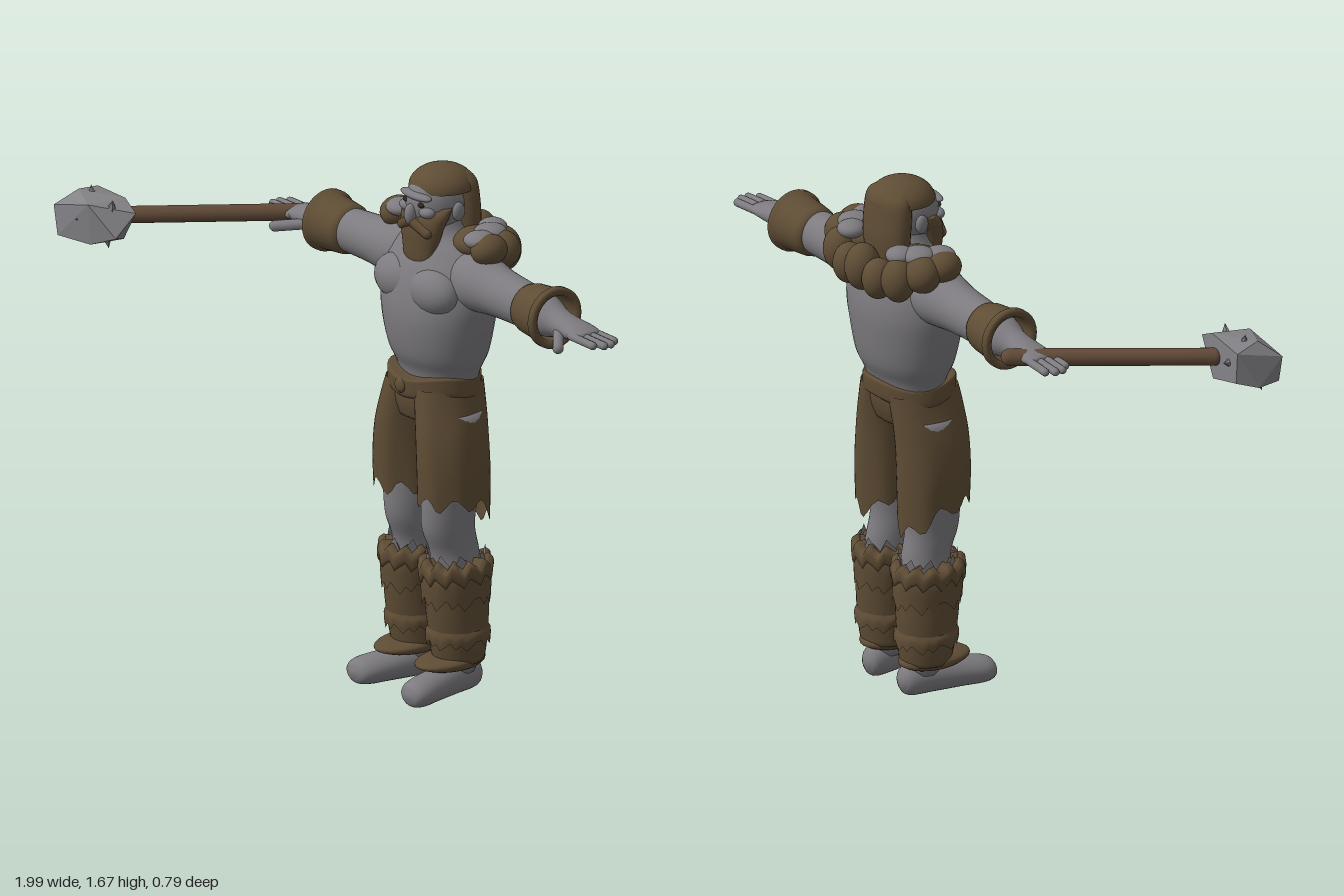
import * as THREE from 'three';
import { ConvexGeometry } from 'three/addons/geometries/ConvexGeometry.js';

const V = (x, y, z) => new THREE.Vector3(x, y, z);
const mat = (name, color, side = THREE.FrontSide) => {
  const m = new THREE.MeshStandardMaterial({ color, side });
  m.name = name;
  return m;
};

// Smooth skin over elliptical sections [along, centreU, centreV, radiusU, radiusV].
// Axis y: u = x, v = z.  Axis x: u = z, v = y.  Axis z: u = y, v = x.
function loft(sections, { axis = 'y', seg = 28, steps = 4, cap = true, warp } = {}) {
  const centre = new THREE.CatmullRomCurve3(sections.map(s => V(s[1], s[0], s[2])), false, 'catmullrom');
  const radius = new THREE.CatmullRomCurve3(sections.map(s => V(s[3], 0, s[4])), false, 'catmullrom');
  const rows = (sections.length - 1) * steps, pos = [], idx = [];
  const push = p => {
    if (axis === 'y') pos.push(p.x, p.y, p.z);
    else if (axis === 'x') pos.push(p.y, p.z, p.x);
    else pos.push(p.z, p.x, p.y);
  };
  for (let i = 0; i <= rows; i++) {
    const t = i / rows, c = centre.getPoint(t), r = radius.getPoint(t);
    for (let j = 0; j < seg; j++) {
      const a = j / seg * Math.PI * 2;
      const p = V(c.x + r.x * Math.cos(a), c.y, c.z + r.z * Math.sin(a));
      if (warp) warp(p, t, a, j);
      push(p);
      if (i < rows) {
        const k = i * seg + j, n = i * seg + (j + 1) % seg;
        idx.push(k, k + seg, n, n, k + seg, n + seg);
      }
    }
  }
  if (cap) {
    const lo = (rows + 1) * seg, top = rows * seg;
    push(centre.getPoint(0));
    push(centre.getPoint(1));
    for (let j = 0; j < seg; j++) {
      const n = (j + 1) % seg;
      idx.push(lo, j, n, lo + 1, top + n, top + j);
    }
  }
  const g = new THREE.BufferGeometry();
  g.setAttribute('position', new THREE.Float32BufferAttribute(pos, 3));
  g.setIndex(idx);
  g.computeVertexNormals();
  return g;
}

const blob = (x, y, z, rx, ry, rz) =>
  new THREE.SphereGeometry(1, 24, 16).scale(rx, ry, rz).translate(x, y, z);

function limb(a, b, r) {
  const d = b.clone().sub(a), g = new THREE.CapsuleGeometry(r, d.length(), 5, 12);
  g.applyQuaternion(new THREE.Quaternion().setFromUnitVectors(V(0, 1, 0), d.normalize()));
  return g.translate((a.x + b.x) / 2, (a.y + b.y) / 2, (a.z + b.z) / 2);
}

function mirrored(geo) {
  const g = geo.clone().scale(-1, 1, 1), ix = g.index.array;
  for (let i = 0; i < ix.length; i += 3) [ix[i], ix[i + 1]] = [ix[i + 1], ix[i]];
  return g;
}

export function createModel() {
  const skin = mat('skin', 0x7d7b7f), tuft = mat('paleFur', 0x7d7b7f, THREE.DoubleSide);
  const hide = mat('brownHide', 0x5f4d35, THREE.DoubleSide), dark = mat('darkEyes', 0x2c2722);
  const wood = mat('wood', 0x614a38), stone = mat('stone', 0x828286);
  const model = new THREE.Group(), body = new THREE.Group();
  body.name = 'warrior';
  body.position.x = 0.165;
  model.add(body);
  const add = (name, geo, m, parent = body) => {
    const mesh = new THREE.Mesh(geo, m);
    mesh.name = name;
    parent.add(mesh);
    return mesh;
  };
  const pair = (name, geo, m) => {
    add('left' + name, geo, m);
    add('right' + name, mirrored(geo), m);
  };

  // Torso and chest
  add('torso', loft([[.98, 0, -.18, .14, .1], [1.04, 0, -.18, .155, .108], [1.1, 0, -.18, .18, .135],
    [1.2, 0, -.18, .205, .15], [1.28, 0, -.185, .218, .148], [1.36, 0, -.19, .208, .13],
    [1.43, 0, -.195, .16, .1], [1.48, 0, -.19, .09, .075], [1.56, 0, -.18, .06, .06]], { seg: 40 }), skin);
  pair('Chest', blob(.085, 1.31, -.1, .1, .075, .065), skin);

  // Arms, hands and cuffs
  pair('Arm', loft([[.1, -.19, 1.345, .08, .09], [.2, -.19, 1.35, .088, .09], [.3, -.19, 1.345, .074, .076],
    [.42, -.19, 1.34, .066, .07], [.52, -.19, 1.335, .062, .064], [.58, -.19, 1.33, .046, .046],
    [.63, -.19, 1.328, .047, .036], [.69, -.192, 1.328, .052, .024], [.73, -.193, 1.326, .045, .013]], { axis: 'x' }), skin);
  for (let i = 0; i < 4; i++) {
    const z = -.23 + i * .026, tip = [.795, .812, .812, .79][i];
    pair('Finger' + (i + 1), limb(V(.69, 1.326, z + .003), V(tip, 1.322, z - .002), .0125), skin);
  }
  pair('Thumb', limb(V(.62, 1.315, -.155), V(.695, 1.3, -.095), .017), skin);
  const cuff = [[.06, 0], [.073, 0], [.079, .02], [.088, .11], [.097, .115], [.097, .132], [.088, .137], [.072, .132], [.06, 0]];
  pair('Cuff', new THREE.LatheGeometry(cuff.map(p => new THREE.Vector2(...p)), 32)
    .rotateZ(-Math.PI / 2).translate(.43, 1.338, -.192), hide);

  // Legs and feet
  pair('Leg', loft([[.08, .095, -.18, .05, .055], [.2, .1, -.175, .065, .075], [.36, .1, -.175, .075, .085],
    [.46, .092, -.17, .066, .08], [.54, .09, -.148, .07, .086], [.62, .093, -.147, .076, .09],
    [.75, .1, -.155, .08, .095], [.92, .095, -.165, .08, .095]]), skin);
  pair('Foot', loft([[-.265, .06, .09, .015, .015], [-.24, .06, .09, .047, .042], [-.16, .062, .1, .052, .052],
    [-.06, .058, .118, .047, .058], [0, .054, .13, .043, .058], [.034, .052, .134, .033, .044],
    [.046, .052, .134, .008, .01]], { axis: 'z' }), skin);

  // Fur leggings with ragged trims
  pair('Legging', loft([[.12, .1, -.178, .078, .08], [.18, .102, -.176, .084, .09], [.27, .102, -.173, .088, .1],
    [.35, .1, -.17, .09, .104], [.43, .1, -.168, .09, .105]], { seg: 36 }), hide);
  const rag = amount => (p, t, a, j) => { p.y -= (1 - t) * amount * ((j * 7) % 5) / 4; };
  pair('UpperFur', loft([[.335, .1, -.17, .094, .111], [.39, .1, -.169, .099, .113], [.415, .1, -.168, .094, .108]],
    { seg: 36, cap: false, warp: rag(.035) }), hide);
  pair('LowerFur', loft([[.195, .102, -.176, .092, .101], [.215, .102, -.175, .094, .102], [.23, .102, -.174, .085, .095]],
    { seg: 36, cap: false, warp: rag(.025) }), hide);
  pair('TopTrim', loft([[.385, .1, -.168, .092, .108], [.4, .1, -.168, .104, .119], [.43, .1, -.168, .105, .12],
    [.445, .1, -.168, .09, .105]], { seg: 36, warp: (p, t, a, j) => { p.y += .016 * Math.sin(j * 2.1); } }), hide);
  pair('PaleTuft', loft([[.43, .1, -.168, .08, .092], [.455, .098, -.168, .084, .096]],
    { cap: false, warp: (p, t, a, j) => { p.y += t * .022 * (j % 3 - 1); } }), tuft);
  pair('AnkleTrim', loft([[.105, .1, -.15, .07, .1], [.115, .1, -.146, .078, .12], [.128, .1, -.148, .078, .117],
    [.138, .1, -.165, .068, .085]]), hide);

  // Split hide kilt and belt
  pair('KiltPanel', loft([[.645, .108, -.153, .096, .116], [.75, .108, -.153, .095, .121], [.85, .1, -.154, .09, .122],
    [.94, .083, -.16, .08, .122], [1.0, .07, -.165, .075, .12]], {
    seg: 40, cap: false,
    warp: (p, t, a, j) => {
      const low = Math.max(0, 1 - t * 1.6);
      p.y -= low * (.085 * Math.max(0, -Math.sin(a)) ** 1.5 + .022 * Math.sin(a * 7 + 1));
      p.x += .004 * Math.sin(a * 6) * (1 - t);
    },
  }), hide);
  add('kiltYoke', loft([[.89, 0, -.16, .145, .1], [.94, 0, -.162, .158, .116], [1.01, 0, -.165, .148, .122]], { seg: 40 }), hide);
  add('belt', loft([[.97, 0, -.165, .15, .124], [.98, 0, -.165, .157, .132], [1.015, 0, -.165, .155, .135],
    [1.03, 0, -.165, .152, .132], [1.03, 0, -.17, .138, .105]],
    { seg: 40, warp: (p, t, a) => { p.y += .008 * Math.sin(a * 3); } }), hide);
  add('beltKnot', blob(0, 1.0, -.033, .024, .024, .012), hide);

  // Head, face and hair
  add('head', blob(0, 1.565, -.175, .09, .1, .102), skin);
  add('brow', blob(0, 1.598, -.094, .07, .014, .024), skin);
  add('nose', blob(0, 1.54, -.073, .019, .034, .021), skin);
  pair('Eye', blob(.035, 1.576, -.084, .016, .008, .006), dark);
  pair('Ear', blob(.092, 1.55, -.185, .014, .03, .022), skin);
  pair('Cheek', blob(.048, 1.553, -.098, .03, .018, .022), skin);
  add('beard', loft([[1.372, 0, -.105, .045, .014], [1.39, 0, -.105, .062, .029], [1.44, 0, -.11, .074, .038],
    [1.5, 0, -.118, .09, .046], [1.54, 0, -.133, .098, .05], [1.565, 0, -.15, .096, .035]], { seg: 32 }), hide);
  pair('Moustache', limb(V(.014, 1.515, -.077), V(.06, 1.49, -.09), .017), hide);
  add('hairCap', new THREE.SphereGeometry(1, 32, 14, 0, Math.PI * 2, 0, Math.PI / 2)
    .scale(.101, .07, .103).translate(0, 1.607, -.194), hide);
  add('hairBack', loft([[1.43, 0, -.245, .09, .05], [1.5, 0, -.25, .1, .053], [1.58, 0, -.245, .1, .053],
    [1.63, 0, -.24, .09, .05], [1.655, 0, -.23, .06, .035]], { seg: 32 }), hide);

  // Lumpy fur mantle round the back of the shoulders
  for (const [x, y, z, rx, ry, rz] of [[.222, 1.46, -.2, .052, .048, .06], [.205, 1.445, -.265, .06, .058, .055],
    [.15, 1.42, -.315, .055, .07, .052], [.075, 1.405, -.335, .05, .065, .052], [.13, 1.455, -.23, .08, .045, .08]])
    pair('MantleFur', blob(x, y, z, rx, ry, rz), hide);
  add('mantleCentre', blob(0, 1.42, -.34, .055, .075, .056), hide);
  for (const [x, y, z, r] of [[.19, 1.485, -.19, .05], [.165, 1.49, -.25, .052], [.125, 1.488, -.29, .045]])
    pair('MantlePaleFur', blob(x, y, z, r, .027, r), skin);

  // Spiked mace in the right hand
  const mace = new THREE.Group();
  mace.name = 'mace';
  model.add(mace);
  add('maceHandle', limb(V(-.48, 1.325, -.257), V(-.84, 1.325, .25), .027), wood, mace);
  const head = add('maceHead', new ConvexGeometry([[-.13, -.06, -.01], [-.1, -.07, .085], [-.125, .02, .08], [-.1, .055, -.07],
    [-.08, .07, .02], [.06, .065, -.05], [.03, .06, .07], [.125, .035, -.04], [.115, -.035, .03],
    [.04, -.075, -.06], [.03, -.07, .06], [-.1, -.04, -.075]].map(p => V(...p))), stone, mace);
  head.position.set(-.87, 1.325, .31);
  for (const [x, y, z, dx, dy, dz] of [[-.045, .06, -.005, -.2, 1, 0], [.07, .05, .01, .35, 1, .1], [-.09, -.06, .02, -.4, -1, 0],
    [.035, -.065, 0, .3, -1, 0], [-.02, 0, .055, .1, .1, 1], [-.05, .01, -.065, -.2, .2, -1]]) {
    const cone = new THREE.ConeGeometry(.026, .055, 6).toNonIndexed();
    cone.computeVertexNormals();
    const spike = add('maceSpike', cone, stone, head);
    spike.position.set(x, y, z);
    spike.quaternion.setFromUnitVectors(V(0, 1, 0), V(dx, dy, dz).normalize());
  }
  return model;
}
